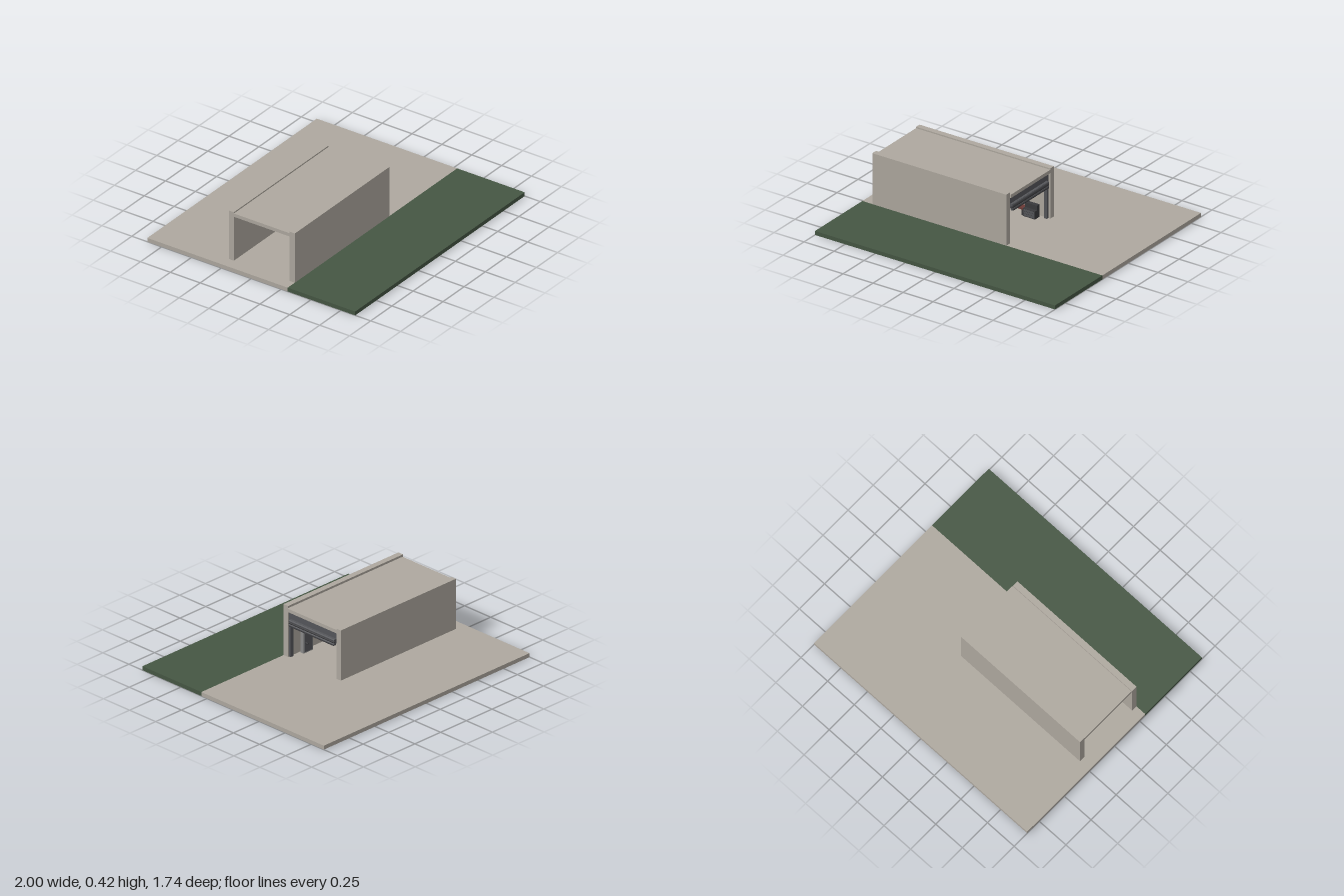
import * as THREE from 'three';

const mat = (color) => new THREE.MeshStandardMaterial({ color });

export function createModel() {
  const model = new THREE.Group();
  const stone = mat(0xaea89f), grass = mat(0x455643), steel = mat(0x55565a);
  const dark = mat(0x3a3a3d), grey = mat(0x8a8a8a), red = mat(0x6b3a36);

  const add = (name, geometry, material, parent = model) => {
    const mesh = new THREE.Mesh(geometry, material);
    mesh.name = name;
    parent.add(mesh);
    return mesh;
  };
  // Box given by its extents on each axis
  const box = (name, material, [x0, x1], [y0, y1], [z0, z1], parent) => {
    const mesh = add(name, new THREE.BoxGeometry(x1 - x0, y1 - y0, z1 - z0), material, parent);
    mesh.position.set((x0 + x1) / 2, (y0 + y1) / 2, (z0 + z1) / 2);
    return mesh;
  };
  const group = (name) => {
    const g = new THREE.Group();
    g.name = name;
    model.add(g);
    return g;
  };

  // Ground slabs
  box('pavedGround', stone, [-1, 1], [0, 0.03], [-0.87, 0.305]);
  box('lawn', grass, [-1, 1], [0, 0.03], [0.305, 0.87]);

  // Garage shell, open at both ends
  const shell = group('garageShell');
  box('frontWall', stone, [-0.917, 0.2], [0.03, 0.418], [0.262, 0.306], shell);
  box('backWall', stone, [-0.912, 0.207], [0.03, 0.412], [-0.25, -0.208], shell);
  box('roof', stone, [-0.912, 0.2], [0.376, 0.402], [-0.208, 0.262], shell);
  box('roofFascia', stone, [0.2, 0.207], [0.376, 0.402], [-0.208, 0.262], shell);

  // Rolled-up door with its guide rails
  const door = group('rollerDoor');
  box('header', steel, [0.17, 0.19], [0.318, 0.376], [-0.208, 0.262], door);
  for (const [z0, z1] of [[-0.208, -0.19], [0.247, 0.262]])
    box('guideRail', steel, [0.165, 0.19], [0.03, 0.376], [z0, z1], door);
  for (let i = 0; i < 3; i++) {
    const slat = add('doorSlat', new THREE.CylinderGeometry(0.009, 0.009, 0.435, 12), i % 2 ? dark : steel, door);
    slat.rotation.x = Math.PI / 2;
    slat.position.set(0.202, 0.313 - i * 0.015, 0.028);
  }
  box('doorBottomBar', dark, [0.195, 0.212], [0.273, 0.28], [-0.185, 0.24], door);
  box('doorHousing', steel, [0.19, 0.205], [0.288, 0.322], [-0.19, 0.245], door);

  // Tool chest and low bench along the back wall
  const chest = group('toolChest');
  box('chestBase', dark, [0.03, 0.13], [0.03, 0.09], [-0.19, -0.135], chest);
  box('chestTop', dark, [0.03, 0.13], [0.09, 0.125], [-0.19, -0.16], chest);
  for (let i = 0; i < 3; i++)
    box('drawerFront', steel, [0.036, 0.124], [0.036 + i * 0.018, 0.05 + i * 0.018], [-0.135, -0.133], chest);
  box('benchTop', red, [-0.14, 0.03], [0.075, 0.087], [-0.19, -0.137], chest);
  for (const x of [-0.135, 0.015])
    box('benchLeg', dark, [x, x + 0.01], [0.03, 0.075], [-0.185, -0.142], chest);

  // Tall locker along the front wall
  const locker = group('locker');
  box('lockerBody', grey, [0, 0.09], [0.03, 0.19], [0.222, 0.25], locker);
  box('lockerCap', dark, [0.005, 0.085], [0.19, 0.21], [0.228, 0.25], locker);
  box('lockerDoor', steel, [0.008, 0.082], [0.04, 0.18], [0.217, 0.222], locker);
  const knob = add('lockerHandle', new THREE.CylinderGeometry(0.006, 0.006, 0.02, 10), dark, locker);
  knob.rotation.x = Math.PI / 2;
  knob.position.set(0.07, 0.106, 0.209);

  // Small work shelf by the far opening
  const shelf = group('workShelf');
  box('shelfTop', red, [-0.75, -0.6], [0.1, 0.113], [0.2, 0.262], shelf);
  for (const x of [-0.742, -0.618])
    box('shelfLeg', dark, [x, x + 0.01], [0.03, 0.1], [0.222, 0.25], shelf);

  return model;
}
